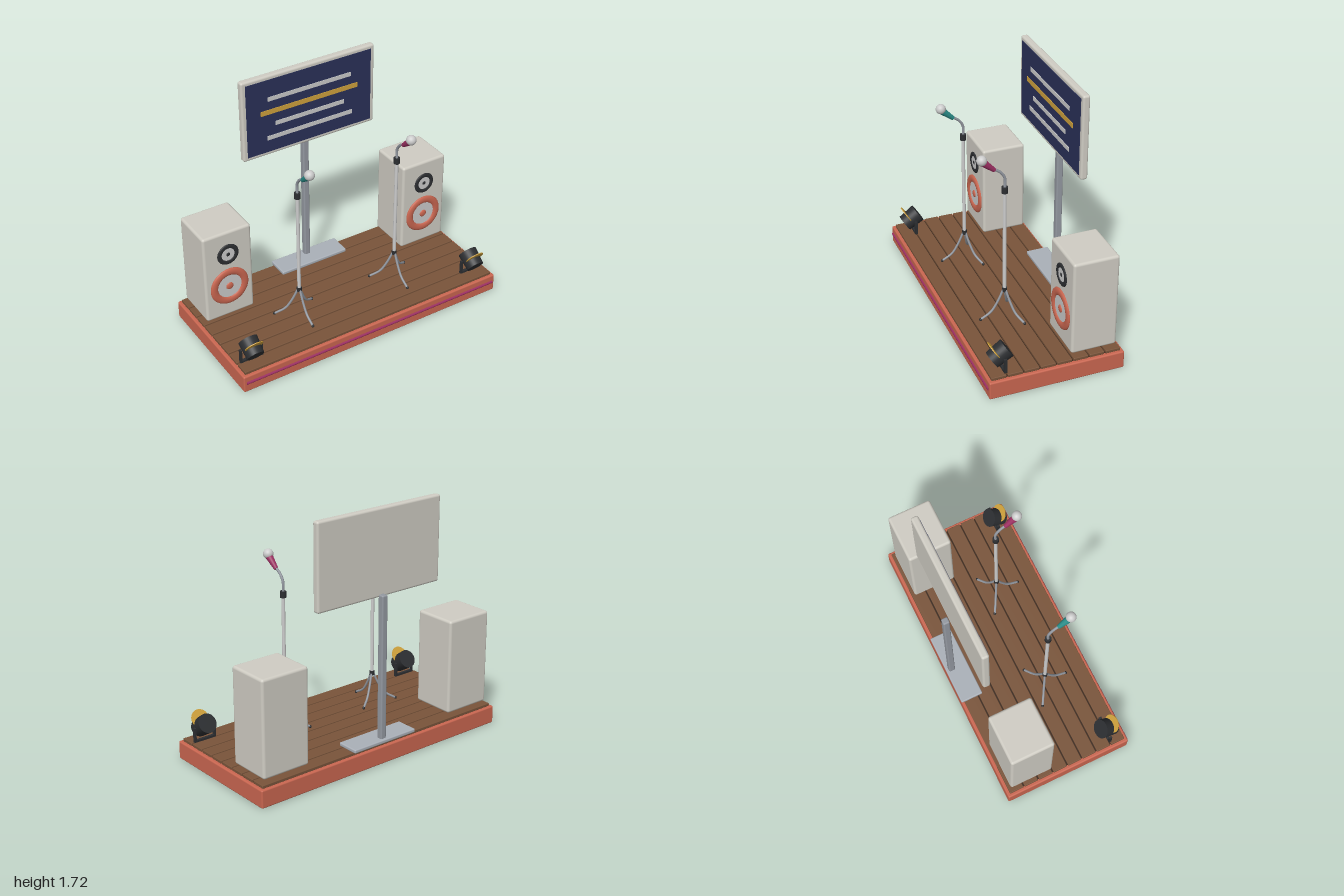
import * as THREE from 'three';
import { RoundedBoxGeometry } from 'three/addons/geometries/RoundedBoxGeometry.js';

const mat = (color) => new THREE.MeshStandardMaterial({ color });
const M = {
  grey: mat(0xcccccc), shell: mat(0xcfccc3), steel: mat(0x9398a0), plate: mat(0xaab0b8),
  red: mat(0xc96650), wood: mat(0x79543a), gap: mat(0x3a281c), black: mat(0x2c2e31),
  gold: mat(0xd0a23c), navy: mat(0x2a3159), magenta: mat(0x9c2f62), teal: mat(0x2a8c88),
};

function add(parent, name, geometry, material, x = 0, y = 0, z = 0) {
  const mesh = new THREE.Mesh(geometry, material);
  mesh.name = name;
  mesh.position.set(x, y, z);
  parent.add(mesh);
  return mesh;
}
const group = (parent, name, x = 0, y = 0, z = 0) => {
  const g = new THREE.Group();
  g.name = name;
  g.position.set(x, y, z);
  parent.add(g);
  return g;
};
const box = (w, h, d) => new THREE.BoxGeometry(w, h, d);
const round = (w, h, d, r) => new RoundedBoxGeometry(w, h, d, 3, r);
const cyl = (top, bottom, h, n = 32) => new THREE.CylinderGeometry(top, bottom, h, n);
const ball = (r) => new THREE.SphereGeometry(r, 24, 16);
const tube = (points, r) => new THREE.TubeGeometry(
  new THREE.CatmullRomCurve3(points.map((p) => new THREE.Vector3(...p))), 20, r, 10);

// Platform with a planked deck and a trim strip along the front
function buildStage(root) {
  const stage = group(root, 'stage');
  add(stage, 'platform', round(2, 0.125, 0.92, 0.01), M.red, 0, 0.0625, 0);
  add(stage, 'deckUnderlay', box(1.94, 0.006, 0.87), M.gap, 0, 0.127, 0);
  const pitch = 0.111;
  for (let i = 0; i < 8; i++) {
    add(stage, 'plank', round(1.955, 0.022, pitch - 0.01, 0.004), M.wood, 0, 0.134, (i - 3.5) * pitch);
  }
  const trim = add(stage, 'frontTrim', cyl(0.01, 0.01, 1.96, 12), M.magenta, 0, 0.072, 0.46);
  trim.rotation.z = Math.PI / 2;
}

// Driver: flattened surround ring, cone disc and centre dome
function buildDriver(parent, name, y, outer, tubeR, dome, material) {
  const driver = group(parent, name, 0, y, 0.157);
  const ring = add(driver, 'surround', new THREE.TorusGeometry(outer - tubeR, tubeR, 14, 48), material);
  ring.scale.z = 0.5;
  const cone = add(driver, 'cone', cyl(outer - tubeR, outer - tubeR, 0.006, 40), M.grey);
  cone.rotation.x = Math.PI / 2;
  const cap = add(driver, 'dome', ball(dome), material, 0, 0, 0.002);
  cap.scale.z = 0.4;
}

function buildSpeaker(root, side) {
  const speaker = group(root, side > 0 ? 'leftSpeaker' : 'rightSpeaker', side * 0.777, 0, -0.264);
  add(speaker, 'cabinet', round(0.353, 0.665, 0.312, 0.018), M.shell, 0, 0.497, 0);
  buildDriver(speaker, 'woofer', 0.402, 0.14, 0.027, 0.027, M.red);
  buildDriver(speaker, 'tweeter', 0.657, 0.078, 0.016, 0.014, M.black);
}

// Lyric screen on a post with a flat base
function buildScreen(root) {
  const screen = group(root, 'screen');
  add(screen, 'base', round(0.52, 0.026, 0.16, 0.008), M.plate, 0, 0.158, -0.382);
  add(screen, 'post', round(0.045, 1.0, 0.045, 0.01), M.steel, 0, 0.658, -0.42);
  add(screen, 'housing', round(1.006, 0.584, 0.05, 0.015), M.shell, 0, 1.425, -0.369);
  add(screen, 'display', box(0.946, 0.53, 0.006), M.navy, 0, 1.425, -0.344);
  const lines = [[1.551, 0.63, 0.03], [1.457, 0.738, 0.034], [1.361, 0.524, 0.03], [1.265, 0.65, 0.03]];
  lines.forEach(([y, w, h], i) =>
    add(screen, 'textBar', box(w, h, 0.006), i === 1 ? M.gold : M.grey, 0, y, -0.34));
}

// Tripod stand with gooseneck and microphone
function buildMicrophone(root, side) {
  const mic = group(root, side > 0 ? 'leftMicrophone' : 'rightMicrophone', side * 0.38, 0, 0.118);
  for (let i = 0; i < 3; i++) {
    const leg = group(mic, 'leg');
    leg.rotation.y = (i * Math.PI * 2) / 3;
    add(leg, 'legTube', tube([[0, 0.355, 0.008], [0, 0.265, 0.05], [0, 0.2, 0.094], [0, 0.155, 0.168]], 0.008), M.steel);
    add(leg, 'foot', ball(0.01), M.black, 0, 0.155, 0.168);
  }
  add(mic, 'hub', cyl(0.017, 0.017, 0.03), M.black, 0, 0.355, 0);
  add(mic, 'pole', cyl(0.012, 0.012, 0.74), M.grey, 0, 0.72, 0);
  add(mic, 'clutch', cyl(0.021, 0.021, 0.042), M.black, 0, 1.1, 0);
  add(mic, 'gooseneck', tube([[0, 1.1, 0], [0, 1.185, 0], [0, 1.23, 0.028], [0, 1.265, 0.078]], 0.009), M.steel);
  const body = add(mic, 'handle', cyl(0.025, 0.014, 0.1), side > 0 ? M.magenta : M.teal, 0, 1.287, 0.106);
  body.rotation.x = 0.85;
  add(mic, 'grille', ball(0.034), M.grey, 0, 1.335, 0.152);
}

// Stage lamp: tilted can in a yoke with a lens disc
function buildLamp(root, side) {
  const lamp = group(root, side > 0 ? 'leftLamp' : 'rightLamp', side * 0.875, 0, 0.345);
  const tilt = 2.16;
  const can = add(lamp, 'can', cyl(0.06, 0.066, 0.12), M.black, 0, 0.24, 0.003);
  can.rotation.x = tilt;
  const lens = add(lamp, 'lens', cyl(0.064, 0.064, 0.006), M.gold, 0, 0.276, 0.038);
  lens.rotation.x = tilt;
  for (const s of [-1, 1]) {
    add(lamp, 'yokeArm', box(0.014, 0.1, 0.02), M.black, s * 0.076, 0.195, -0.008);
  }
  add(lamp, 'yokeBase', box(0.166, 0.014, 0.02), M.black, 0, 0.152, -0.008);
}

export function createModel() {
  const root = new THREE.Group();
  root.name = 'karaokeStage';
  buildStage(root);
  buildScreen(root);
  for (const side of [-1, 1]) {
    buildSpeaker(root, side);
    buildMicrophone(root, side);
    buildLamp(root, side);
  }
  return root;
}
